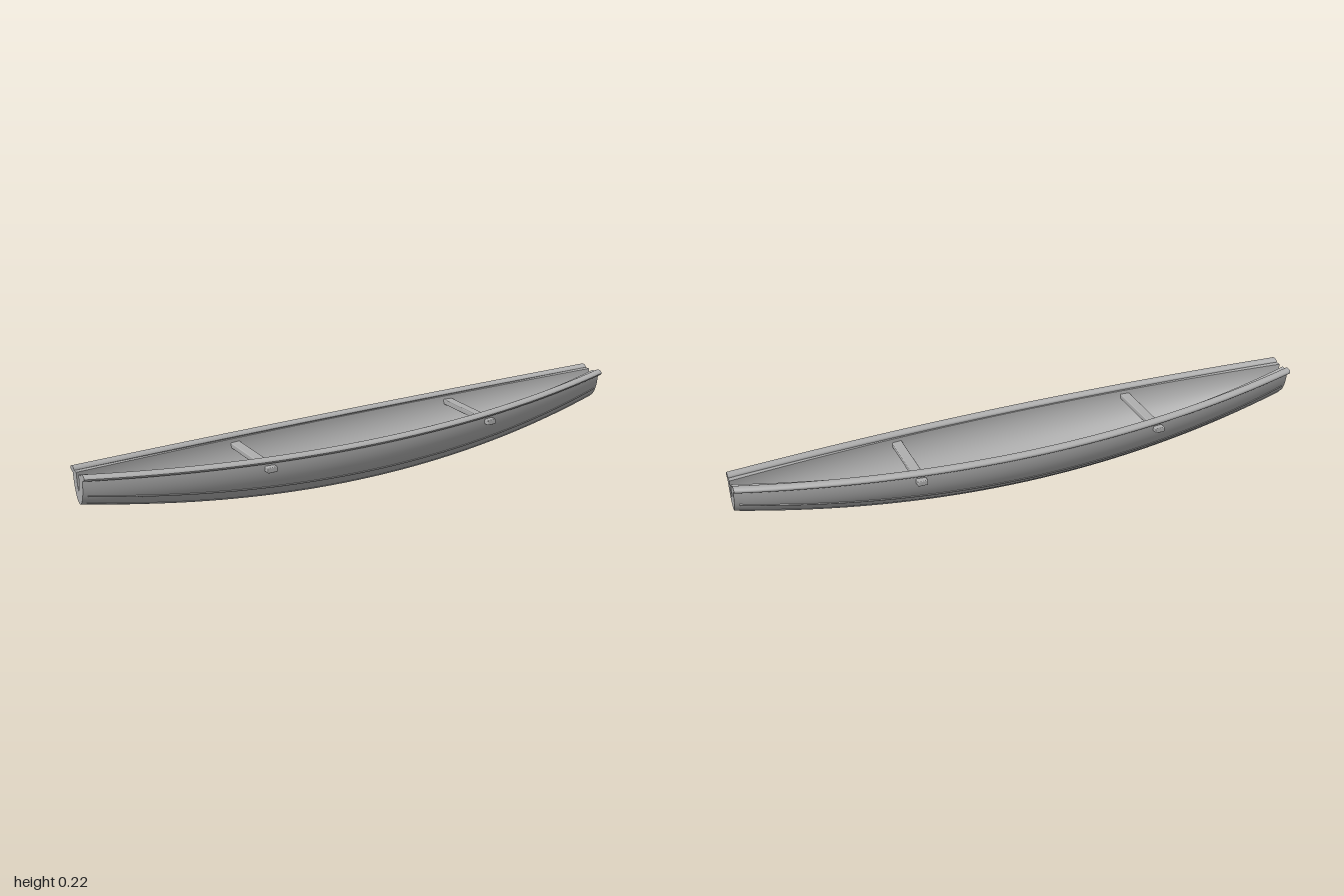
import * as THREE from 'three';
import { RoundedBoxGeometry } from 'three/addons/geometries/RoundedBoxGeometry.js';

const grey = new THREE.MeshStandardMaterial({ color: 0xb0b0b0 });
grey.name = 'grey';

const lerp = THREE.MathUtils.lerp;
const STEPS = 64;

// smooth grid surface from a point rule f(u, v); faces along du x dv
function surface(name, f, nu, nv) {
  const pos = [], index = [];
  for (let i = 0; i <= nu; i++) for (let j = 0; j <= nv; j++) pos.push(...f(i / nu, j / nv));
  for (let i = 0; i < nu; i++) for (let j = 0; j < nv; j++) {
    const a = i * (nv + 1) + j, b = a + nv + 1;
    index.push(a, b, a + 1, b, b + 1, a + 1);
  }
  const g = new THREE.BufferGeometry();
  g.setAttribute('position', new THREE.Float32BufferAttribute(pos, 3));
  g.setIndex(index);
  g.computeVertexNormals();
  const mesh = new THREE.Mesh(g, grey);
  mesh.name = name;
  return mesh;
}

// hull lines along x: each eases from the middle value to the end value
const along = (mid, end) => x => lerp(mid, end, x * x);
const sheer = along(0.17, 0.212);
const outerHalf = along(0.158, 0.042), innerHalf = along(0.132, 0.01);
const keel = along(0, 0.112), floor = along(0.03, 0.155);

// half-ellipse section; angle 0 is straight down, +90 degrees is the +z edge
const section = (half, bottom) => (x, a) =>
  [x, sheer(x) - (sheer(x) - bottom(x)) * Math.cos(a), half(x) * Math.sin(a)];
const outer = section(outerHalf, keel);
const inner = section(innerHalf, floor);
const angle = v => (v - 0.5) * Math.PI;
const toX = u => u * 2 - 1;

// closed elliptical rod along the hull, following center(x)
function rod(name, center, rz, ry, length) {
  const group = new THREE.Group();
  group.name = name;
  const point = (x, v, s) => {
    const [px, y, z] = center(x), a = v * Math.PI * 2;
    return [px, y + Math.sin(a) * ry * s, z + Math.cos(a) * rz * s];
  };
  group.add(surface(name + 'Body', (u, v) => point(toX(u) * length, v, 1), STEPS, 16));
  group.add(surface(name + 'EndLeft', (u, v) => point(length, v, 1 - u), 1, 16));
  group.add(surface(name + 'EndRight', (u, v) => point(-length, 1 - v, 1 - u), 1, 16));
  return group;
}

export function createModel() {
  const model = new THREE.Group();
  model.name = 'canoe';

  // hull shell
  const hull = new THREE.Group();
  hull.name = 'hull';
  hull.add(surface('outerSkin', (u, v) => outer(toX(u), angle(v)), STEPS, 40));
  hull.add(surface('innerSkin', (u, v) => inner(toX(u), angle(1 - v)), STEPS, 40));
  hull.add(surface('leftRim', (u, v) => {
    const x = toX(u);
    return [x, sheer(x), lerp(outerHalf(x), innerHalf(x), v)];
  }, STEPS, 1));
  hull.add(surface('rightRim', (u, v) => {
    const x = toX(u);
    return [x, sheer(x), -lerp(innerHalf(x), outerHalf(x), v)];
  }, STEPS, 1));

  // U-shaped faces with a notch at both ends
  for (const end of [1, -1]) {
    hull.add(surface(end > 0 ? 'leftEndFace' : 'rightEndFace', (u, v) => {
      const a = angle(end > 0 ? v : 1 - v), o = outer(end, a), n = inner(end, a);
      return o.map((c, k) => lerp(c, n[k], u));
    }, 1, 40));
  }
  model.add(hull);

  // gunwale rails and thin seam strips on both sides
  const railY = along(0.174, 0.212), railZ = along(0.151, 0.044);
  for (const side of [1, -1]) {
    const label = side > 0 ? 'front' : 'back';
    model.add(rod(label + 'Rail', x => [x, railY(x), side * railZ(x)], 0.016, 0.01, 1));
    for (const deg of [27, 52]) {
      const a = side * deg * Math.PI / 180;
      model.add(rod(label + 'Seam' + deg, x => outer(x, a), 0.003, 0.003, 0.985));
    }
  }

  // thwarts, with ends poking through the hull
  for (const side of [1, -1]) {
    const thwart = new THREE.Mesh(new RoundedBoxGeometry(0.034, 0.018, 0.314, 2, 0.003), grey);
    thwart.name = side > 0 ? 'leftThwart' : 'rightThwart';
    thwart.position.set(side * 0.425, 0.156, 0);
    model.add(thwart);
  }
  return model;
}
